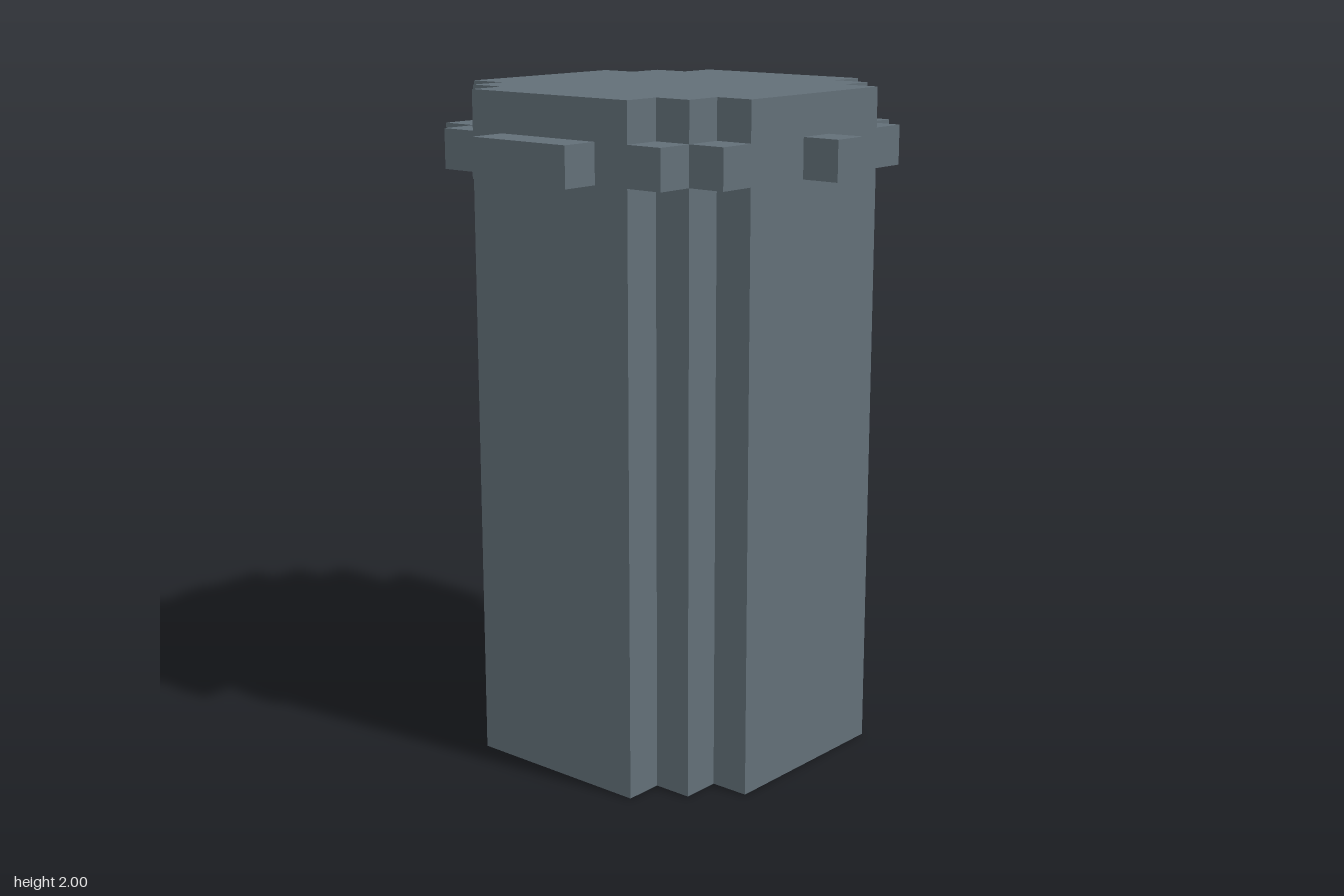
import * as THREE from 'three';

const U = 2 / 17; // one block

export function createModel() {
  const group = new THREE.Group();
  const slate = new THREE.MeshStandardMaterial({ color: 0x626f77 });
  slate.name = 'slate grey';

  function add(name, geometry, x = 0, y = 0, z = 0) {
    const mesh = new THREE.Mesh(geometry, slate);
    mesh.name = name;
    mesh.position.set(x * U, y * U, z * U);
    group.add(mesh);
  }
  const box = (w, h, d) => new THREE.BoxGeometry(w * U, h * U, d * U);

  // Tall body: a square column with two-step corners
  const quarter = [[4.5, 2.5], [3.5, 2.5], [3.5, 3.5], [2.5, 3.5], [2.5, 4.5]];
  const outline = [];
  for (let i = 0; i < 4; i++) {
    const c = [1, 0, -1, 0][i], s = [0, 1, 0, -1][i];
    for (const [x, y] of quarter) {
      outline.push(new THREE.Vector2((x * c - y * s) * U, (x * s + y * c) * U));
    }
  }
  const body = new THREE.ExtrudeGeometry(new THREE.Shape(outline), { depth: 17 * U, bevelEnabled: false });
  body.rotateX(-Math.PI / 2);
  add('body', body);

  // Rim blocks filling the corner steps just below the top
  for (const sx of [-1, 1]) {
    for (const sz of [-1, 1]) {
      add('rimBlock', box(1, 1, 1), sx * 3, 15.5, sz * 4);
      add('rimBlock', box(1, 1, 1), sx * 4, 15.5, sz * 3);
    }
  }

  // Wide grips front and back, small lugs on the sides
  for (const s of [-1, 1]) {
    add(s > 0 ? 'frontGrip' : 'backGrip', box(3, 1, 1), 0, 15.5, s * 5);
    add(s > 0 ? 'leftLug' : 'rightLug', box(1, 1, 1), s * 5, 15.5, 0);
  }

  return group;
}
